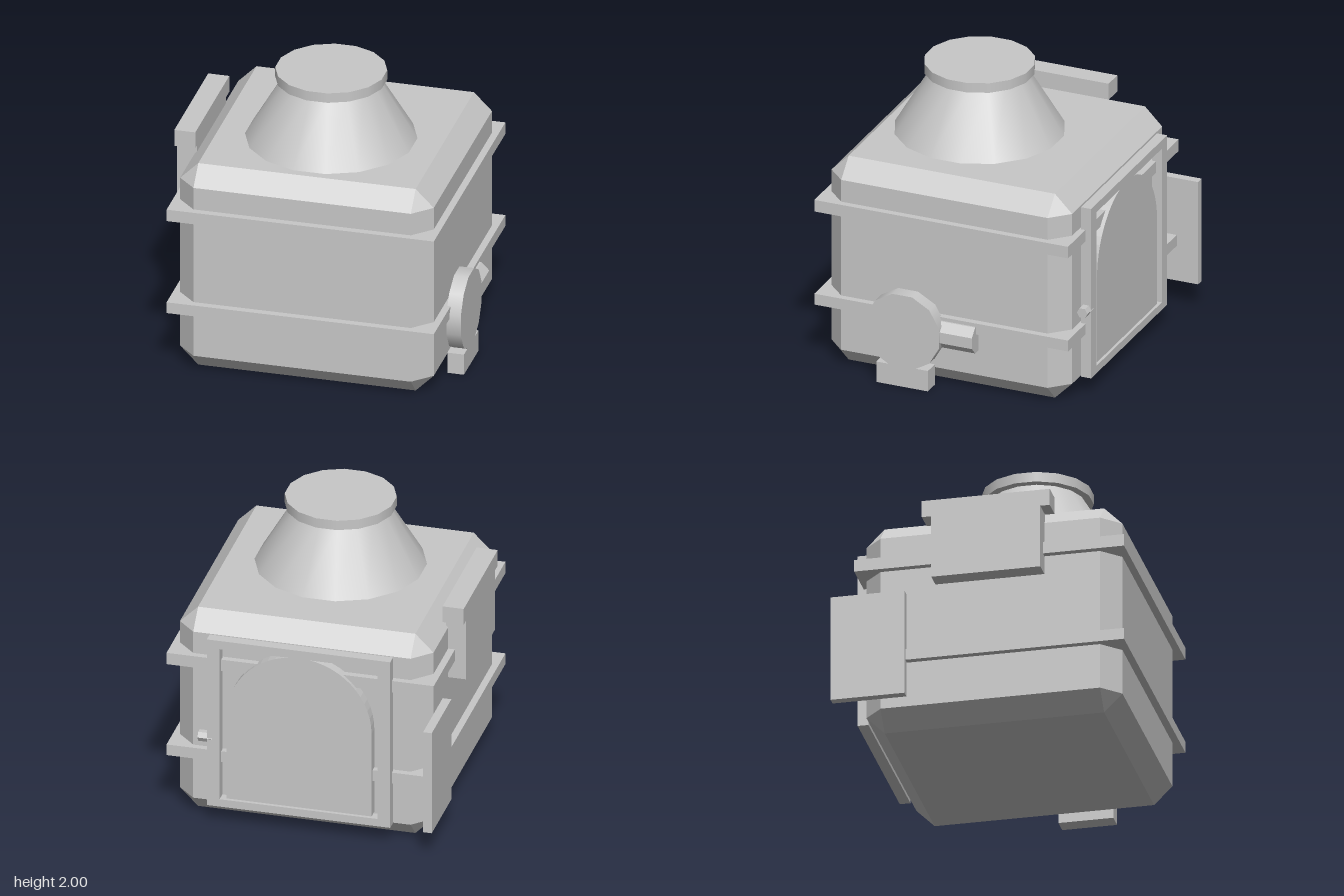
import * as THREE from 'three';
import { ConvexGeometry } from 'three/addons/geometries/ConvexGeometry.js';

const grey = new THREE.MeshStandardMaterial({ color: 0xc8c8c8 });
grey.name = 'grey metal';

export function createModel() {
  const model = new THREE.Group();
  model.name = 'furnace';

  const add = (name, geometry) => {
    const mesh = new THREE.Mesh(geometry, grey);
    mesh.name = name;
    model.add(mesh);
    return mesh;
  };
  // Box given by its limits on each axis
  const box = (name, [x0, x1], [y0, y1], [z0, z1]) =>
    add(name, new THREE.BoxGeometry(x1 - x0, y1 - y0, z1 - z0))
      .position.set((x0 + x1) / 2, (y0 + y1) / 2, (z0 + z1) / 2);
  // Prism whose flat sides, not its corners, lie at the given radii
  const prism = (top, bottom, height, sides) => {
    const k = 1 / Math.cos(Math.PI / sides);
    return new THREE.CylinderGeometry(top * k, bottom * k, height, sides, 1, false, Math.PI / sides);
  };
  const faceted = (geometry) => {
    const flat = geometry.toNonIndexed();
    flat.computeVertexNormals();
    return flat;
  };

  // Chamfered body
  const half = [0.875, 0.75, 0.875];
  const chamfer = 0.125;
  const corners = [];
  for (const sx of [-1, 1]) for (const sy of [-1, 1]) for (const sz of [-1, 1])
    for (let axis = 0; axis < 3; axis++) {
      const [x, y, z] = half.map((h, i) => (i === axis ? h : h - chamfer));
      corners.push(new THREE.Vector3(sx * x, sy * y, sz * z));
    }
  add('body', new ConvexGeometry(corners)).position.set(0, 0.75, 0.075);

  // Bands around the body
  box('lowerBand', [-0.922, 0.922], [0.445, 0.525], [-0.845, 1]);
  box('upperBand', [-0.922, 0.922], [1.13, 1.215], [-0.845, 1]);

  // Chimney hood and its cap
  add('hood', prism(0.315, 0.565, 0.43, 16)).position.set(0, 1.715, 0.2);
  add('hoodCap', prism(0.367, 0.367, 0.07, 16)).position.set(0, 1.965, 0.2);

  // Blower on the left side
  add('blowerDrum', prism(0.268, 0.268, 0.1, 12).rotateZ(Math.PI / 2)).position.set(0.95, 0.402, 0.327);
  add('blowerPipe', faceted(prism(0.095, 0.095, 0.47, 8).rotateX(Math.PI / 2))).position.set(0.895, 0.405, 0.06);
  box('blowerFoot', [0.885, 1], [0, 0.15], [0.14, 0.515]);

  // Control box on the right side
  box('controlBox', [-1, -0.86], [1, 1.445], [-0.3, 0.445]);
  box('controlBoxLid', [-1, -0.855], [1.445, 1.563], [-0.365, 0.51]);

  // Upright side plate
  box('sidePlate', [-0.95, -0.89], [0.19, 0.943], [-1, -0.495]);

  // Frame on the back
  const frame = new THREE.Shape();
  frame.moveTo(-0.633, 0.13).lineTo(0.633, 0.13).lineTo(0.633, 1.377).lineTo(-0.633, 1.377).closePath();
  const opening = new THREE.Path();
  opening.moveTo(-0.545, 0.185).lineTo(-0.545, 1.315).lineTo(0.545, 1.315).lineTo(0.545, 0.185).closePath();
  frame.holes.push(opening);
  add('doorFrame', new THREE.ExtrudeGeometry(frame, { depth: 0.073, bevelEnabled: false })).position.z = -0.887;

  // Arched door inside the frame
  const arch = new THREE.Shape();
  arch.moveTo(-0.5, 0.19).lineTo(0.5, 0.19).lineTo(0.5, 0.813);
  arch.absarc(0, 0.813, 0.5, 0, Math.PI, false);
  arch.closePath();
  add('archedDoor', new THREE.ExtrudeGeometry(arch, { depth: 0.08, bevelEnabled: false, curveSegments: 14 }))
    .position.z = -0.872;

  // Hexagonal latch knob on the frame
  add('latchKnob', faceted(new THREE.CylinderGeometry(0.039, 0.039, 0.1, 6).rotateZ(Math.PI / 2)))
    .position.set(0.647, 0.63, -0.85);

  return model;
}
